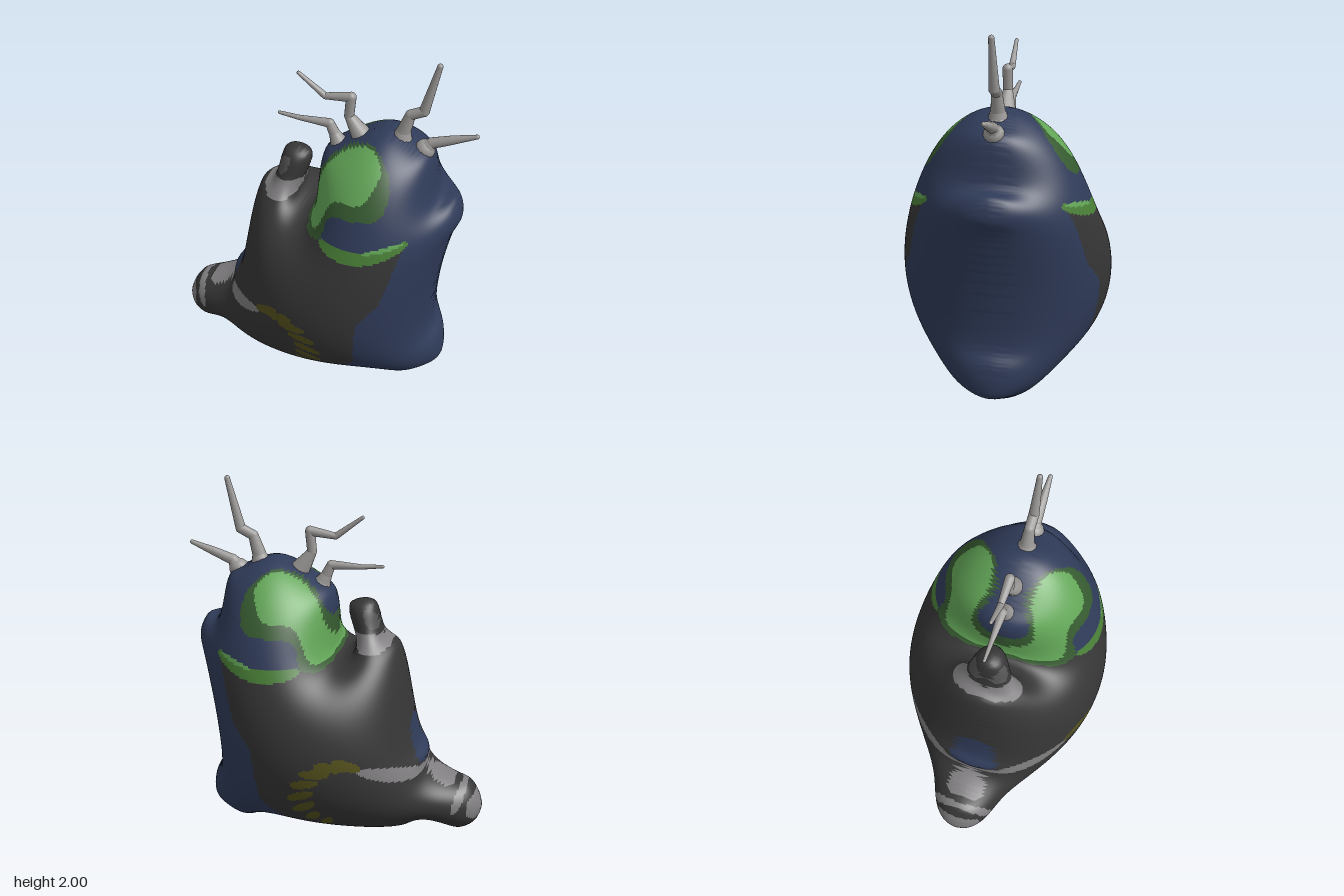
import * as THREE from 'three';

const mat = (name, color) => Object.assign(new THREE.MeshStandardMaterial({ color }), { name });
const M = {
  navy: mat('navy', 0x2f3b59),
  charcoal: mat('charcoal', 0x363636),
  green: mat('leaf green', 0x62a557),
  darkGreen: mat('dark green', 0x365a30),
  midGreen: mat('mid green', 0x497f37),
  olive: mat('olive', 0x55521c),
  grey: mat('light grey', 0x807e80),
  dimGrey: mat('dim grey', 0x555454),
  bone: mat('bone grey', 0x9c9a98),
};

// closed smooth outline through a few points
function outline(pts, n = 60) {
  const c = new THREE.CatmullRomCurve3(pts.map(([x, y]) => new THREE.Vector3(x, y, 0)), true, 'centripetal');
  return c.getPoints(n).slice(0, n).map(p => [p.x, p.y]);
}
function ellipse(x, y, a, b, degrees) {
  const t = THREE.MathUtils.degToRad(degrees);
  return new THREE.EllipseCurve(x, y, a, b).getPoints(24)
    .map(p => p.rotateAround(new THREE.Vector2(x, y), t).toArray());
}
function inside(poly, x, y) {
  let r = false;
  for (let i = 0, j = poly.length - 1; i < poly.length; j = i++) {
    const [ax, ay] = poly[i], [bx, by] = poly[j];
    if ((ay > y) !== (by > y) && x < (bx - ax) * (y - ay) / (by - ay) + ax) r = !r;
  }
  return r;
}
// closest outline point and its distance
function nearest(poly, x, y) {
  let best = [0, 0, Infinity];
  for (let i = 0, j = poly.length - 1; i < poly.length; j = i++) {
    const [ax, ay] = poly[j], dx = poly[i][0] - ax, dy = poly[i][1] - ay;
    const t = THREE.MathUtils.clamp(((x - ax) * dx + (y - ay) * dy) / (dx * dx + dy * dy + 1e-12), 0, 1);
    const px = ax + t * dx, py = ay + t * dy, d = Math.hypot(px - x, py - y);
    if (d < best[2]) best = [px, py, d];
  }
  return best;
}

// body outline, in four runs
const arm = [[-.71, .06], [-.8, .11], [-.83, .21], [-.76, .34], [-.68, .36], [-.52, .435], [-.52, .51], [-.47, .57]];
const stub = [[-.37, 1.05], [-.335, 1.14], [-.27, 1.175], [-.2, 1.365], [-.07, 1.34], [-.113, 1.116], [-.066, 1.08], [-.02, 1.085]];
const head = [[.02, 1.4], [.1, 1.46], [.34, 1.575], [.51, 1.52], [.59, 1.475], [.652, 1.24], [.736, 1.217], [.773, 1.116], [.736, 1.016]];
const base = [[.668, .656], [.662, .365], [.71, .275], [.715, .11], [.63, .063], [.51, .003], [.35, .083], [.087, .058], [-.44, .074], [-.49, .12], [-.6, .095]];

// coloured markings
const eye = outline([[-.015, 1.1], [.02, 1.24], [.09, 1.42], [.3, 1.53], [.385, 1.475], [.325, 1.33], [.165, 1.29], [.06, 1.1]]);
const eyeRing = outline([[-.03, 1.08], [.07, 1.41], [.3, 1.54], [.4, 1.49], [.445, 1.4], [.42, 1.27], [.16, 1.22], [.1, 1.08]]);
const stripe = outline([[.11, 1.09], [.38, 1.1], [.565, 1.145], [.56, 1.11], [.34, 1.03], [.12, 1.065]]);
const shell = [[-.9, 0], [-.9, 1.45], [-.04, 1.45], [-.035, 1.085], [.13, 1.075], [.32, 1.04], [.55, 1.11],
  [.46, .79], [.35, .656], [.325, .34], [.07, 0]];
const ribs = Array.from({ length: 8 }, (_, i) => {
  const t = THREE.MathUtils.degToRad(98 - 23 * i);
  return ellipse(-.13 + .213 * Math.cos(t), .4 + .213 * Math.sin(t), i < 6 ? .08 : .055, .028, 22 - 11 * i);
});
const bands = [
  ellipse(-.37, .51, .17, .035, 22), // shoulder band
  ellipse(-.6, .4, .09, .028, 30), // line along the arm
  ellipse(-.715, .29, .085, .024, -72), // wrist
  ellipse(-.81, .225, .055, .075, 0), // arm tip
  ellipse(-.19, 1.165, .12, .045, 5), // stub collar
];

// the first region that holds a point gives its colour; the rest is skin
const REGIONS = [
  ['eyePatch', M.green, [eye, ellipse(.46, 1.118, .105, .012, 13)]],
  ['eyeBorder', M.darkGreen, [eyeRing]],
  ['rimStripe', M.midGreen, [stripe]],
  ['ribs', M.olive, ribs],
  ['greyBands', M.grey, bands],
  ['stubTip', M.dimGrey, [ellipse(-.2, 1.28, .06, .03, 60)]],
  ['backPatch', M.navy, [ellipse(-.49, .62, .15, .045, 74)]],
  ['shell', M.charcoal, [shell]],
  ['skin', M.navy, []],
];

// body: the outline inflated like a balloon, thickness = root of a Poisson solution
function addBody(group) {
  const S = 0.01, X0 = -0.87, Y0 = -0.03, W = 170, N = W * 165;
  const poly = outline([...arm, ...stub, ...head, ...base], 288);
  const at = (k, half = 0) => [X0 + (k % W + half) * S, Y0 + (Math.floor(k / W) + half) * S];
  const isIn = new Uint8Array(N), near = [], u = new Float64Array(N), diag = new Float64Array(N), nodes = [];
  for (let k = 0; k < N; k++) {
    isIn[k] = inside(poly, ...at(k)) ? 1 : 0;
    near[k] = nearest(poly, ...at(k));
    if (isIn[k]) nodes.push(k);
  }
  for (const k of nodes) {
    diag[k] = 4;
    for (const s of [1, -1, W, -W]) {
      if (!isIn[k + s]) diag[k] += Math.min(5, near[k + s][2] / (near[k][2] + 1e-6));
    }
  }
  for (let pass = 0; pass < 500; pass++) for (const k of nodes) {
    const v = (u[k + 1] + u[k - 1] + u[k + W] + u[k - W] + S * S) / diag[k];
    u[k] += 1.94 * (v - u[k]);
  }
  const top = nodes.reduce((m, k) => Math.max(m, u[k]), 0);

  // rim vertices slide onto the outline and are shared by both sides
  const pos = [], front = new Int32Array(N).fill(-1), back = new Int32Array(N);
  const addVertex = k => {
    if (front[k] >= 0) return;
    front[k] = back[k] = pos.length / 3;
    if (!isIn[k]) {
      pos.push(near[k][0], near[k][1], 0);
      return;
    }
    const [x, y] = at(k), h = 0.565 * Math.sqrt(Math.max(0, u[k]) / top);
    pos.push(x, y, h, x, y, -h);
    back[k]++;
  };
  const lists = REGIONS.map(() => []);
  for (let k = 0; k < N - W - 1; k++) {
    const quad = [k, k + 1, k + W + 1, k + W];
    if (!quad.some(i => isIn[i])) continue;
    quad.forEach(addVertex);
    const r = REGIONS.findIndex(([, , shapes]) => shapes.some(p => inside(p, ...at(k, 0.5))));
    const [a, b, c, d] = quad.map(i => front[i]), [e, f, g, h] = quad.map(i => back[i]);
    lists[r < 0 ? REGIONS.length - 1 : r].push(a, b, c, a, c, d, e, g, f, e, h, g);
  }

  // one mesh per colour region, all sharing the same smooth normals
  const whole = new THREE.BufferGeometry();
  whole.setAttribute('position', new THREE.Float32BufferAttribute(pos, 3));
  whole.setIndex(lists.flat());
  whole.computeVertexNormals();
  REGIONS.forEach(([name, material], i) => {
    const geo = new THREE.BufferGeometry();
    geo.setAttribute('position', whole.attributes.position);
    geo.setAttribute('normal', whole.attributes.normal);
    geo.setIndex(lists[i]);
    const mesh = new THREE.Mesh(geo, material);
    mesh.name = name;
    group.add(mesh);
  });
}

// feeler: tapered segments with round joints, points are [x, y, radius]
function feeler(name, ...pts) {
  const g = new THREE.Group();
  g.name = name;
  pts.forEach(([x, y, r], i) => {
    const joint = new THREE.Mesh(new THREE.SphereGeometry(r, 14, 10), M.bone);
    joint.position.set(x, y, 0);
    g.add(joint);
    if (i === 0) return;
    const [px, py, pr] = pts[i - 1], dx = x - px, dy = y - py;
    const segment = new THREE.Mesh(new THREE.CylinderGeometry(r, pr, Math.hypot(dx, dy), 14, 1, true), M.bone);
    segment.position.set((x + px) / 2, (y + py) / 2, 0);
    segment.rotation.z = Math.atan2(-dx, dy);
    g.add(segment);
  });
  return g;
}

export function createModel() {
  const model = new THREE.Group();
  model.name = 'creature';
  addBody(model);
  model.add(
    feeler('lowRightFeeler', [.09, 1.43, .05], [.06, 1.49, .03], [.035, 1.545, .025], [-.13, 1.545, .014], [-.245, 1.555, .009]),
    feeler('highRightFeeler', [.22, 1.49, .06], [.14, 1.61, .026], [.15, 1.725, .027], [.01, 1.705, .018], [-.135, 1.815, .01]),
    feeler('highLeftFeeler', [.42, 1.51, .065], [.435, 1.58, .038], [.465, 1.68, .028], [.535, 1.715, .028], [.602, 1.985, .015]),
    feeler('lowLeftFeeler', [.55, 1.49, .055], [.585, 1.535, .03], [.69, 1.575, .024], [.815, 1.62, .012]),
  );
  return model;
}
